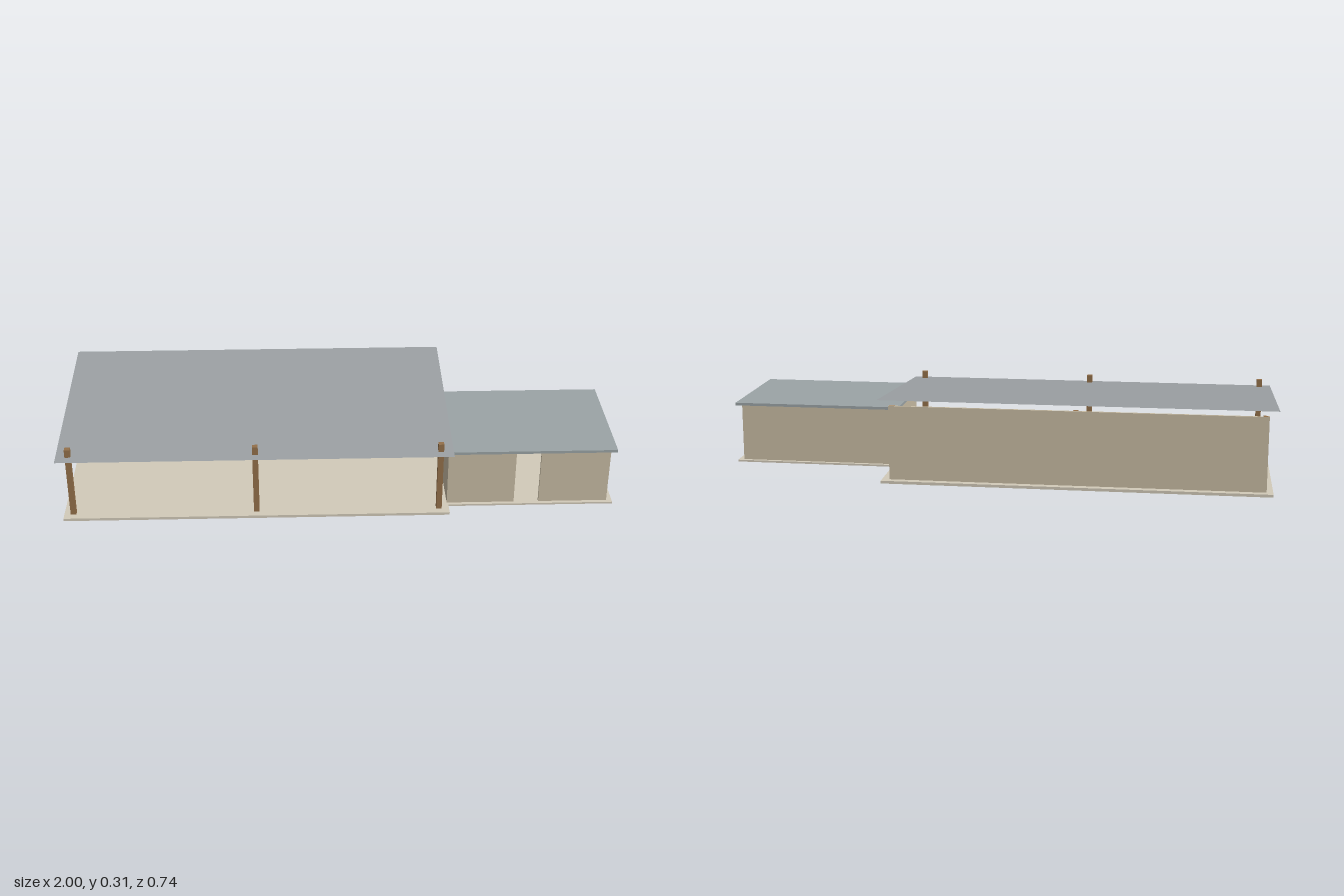
import * as THREE from 'three';

const paint = (color, side = THREE.FrontSide) => {
  const m = new THREE.MeshStandardMaterial({ side });
  m.color.set(color);
  return m;
};

export function createModel() {
  const model = new THREE.Group();
  const wall = paint(0xc8bca4), floor = paint(0xd2cab9), timber = paint(0x93704a);
  const metal = paint(0x9ba0a3, THREE.DoubleSide), annexMetal = paint(0x9ba4a6);

  // Box given by its limits on each axis
  const box = (name, material, [x0, x1], [y0, y1], [z0, z1], parent = model) => {
    const mesh = new THREE.Mesh(new THREE.BoxGeometry(x1 - x0, y1 - y0, z1 - z0), material);
    mesh.position.set((x0 + x1) / 2, (y0 + y1) / 2, (z0 + z1) / 2);
    mesh.name = name;
    parent.add(mesh);
    return mesh;
  };

  // Open pavilion: slab, back wall and two rows of posts
  const pavilion = new THREE.Group();
  pavilion.name = 'pavilion';
  model.add(pavilion);
  box('pavilionSlab', floor, [-0.99, 0.4], [0, 0.01], [-0.36, 0.36], pavilion);
  box('pavilionBackWall', wall, [-0.967, 0.373], [0.01, 0.28], [-0.335, -0.325], pavilion);
  for (const x of [-0.957, -0.297, 0.363]) {
    for (const [name, z] of [['frontPost', 0.324], ['backPost', -0.323]]) {
      box(name, timber, [x - 0.01, x + 0.01], [0.01, 0.28], [z - 0.01, z + 0.01], pavilion);
    }
  }

  // Thin roof sheet, low at the front and high at the back
  const depth = 0.735, rise = 0.06;
  const sheet = new THREE.PlaneGeometry(1.408, Math.hypot(depth, rise));
  sheet.rotateX(-Math.PI / 2 + Math.atan2(rise, depth));
  const roof = new THREE.Mesh(sheet, metal);
  roof.position.set(-0.296, 0.278, -0.002);
  roof.name = 'pavilionRoof';
  pavilion.add(roof);

  // Enclosed annex with a full-height doorway in its front wall
  const annex = new THREE.Group();
  annex.name = 'annex';
  model.add(annex);
  const height = [0.01, 0.222];
  box('annexSlab', floor, [0.38, 1], [0.003, 0.0098], [-0.138, 0.308], annex);
  box('annexRoof', annexMetal, [0.376, 1], [0.222, 0.232], [-0.142, 0.31], annex);
  box('annexBackWall', wall, [0.395, 0.98], height, [-0.125, -0.115], annex);
  for (const span of [[0.395, 0.64], [0.73, 0.98]]) {
    box('annexFrontWall', wall, span, height, [0.285, 0.295], annex);
  }
  for (const x of [0.395, 0.97]) {
    box('annexSideWall', wall, [x, x + 0.01], height, [-0.115, 0.285], annex);
  }

  return model;
}
